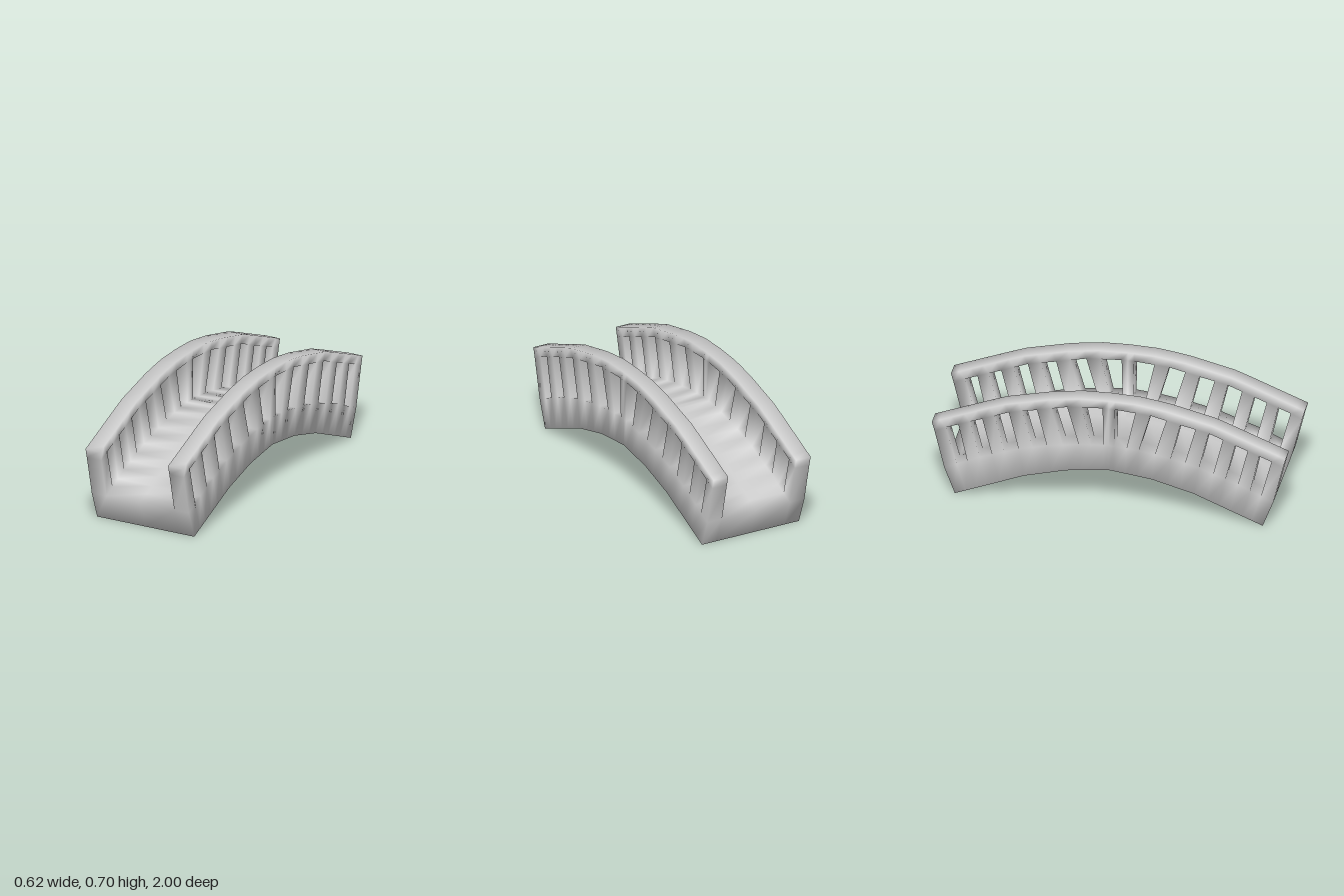
import * as THREE from 'three';

// half of the side profile, from the end (z = +1) towards the middle: [z, y]
const LOWER = [[0.87, 0], [0.48, 0.16], [0.24, 0.225], [0, 0.255]];
const SILL = [[0.93, 0.16], [0.86, 0.19], [0.73, 0.25], [0.59, 0.3], [0.51, 0.33], [0.43, 0.35], [0.35, 0.37], [0.17, 0.4], [0, 0.415]];
const HEAD = [[0.985, 0.39], [0.92, 0.42], [0.715, 0.5], [0.565, 0.56], [0.405, 0.595], [0.235, 0.635], [0.035, 0.65], [0, 0.65]];
const CREST = [[1, 0.445], [0.6, 0.605], [0.33, 0.67], [0.165, 0.695], [0, 0.7]];

// z of the slanted window edges at the sill and at the head
const SILL_Z = [0.86, 0.8, 0.73, 0.66, 0.59, 0.51, 0.43, 0.35, 0.26, 0.17, 0.1, 0.03];
const HEAD_Z = [0.92, 0.85, 0.785, 0.715, 0.645, 0.565, 0.49, 0.405, 0.325, 0.235, 0.15, 0.035];

const OUTER = 0.31, INNER = 0.217;
const COLUMNS = [-OUTER, -INNER, 0, INNER, OUTER];

function at(curve, z) {
  let i = 0;
  while (i < curve.length - 2 && z < curve[i + 1][0]) i++;
  const [a, b] = [curve[i], curve[i + 1]];
  return [z, a[1] + (b[1] - a[1]) * (z - a[0]) / (b[0] - a[0])];
}

export function createModel() {
  const group = new THREE.Group();
  group.name = 'archedBridge';

  // slanted cross-sections along the bridge, mirrored about the middle
  const half = [{ lower: LOWER[0], sill: SILL[0], head: HEAD[0], crest: CREST[0] }];
  SILL_Z.forEach((z, i) => half.push({
    lower: at(LOWER, z * 0.94), sill: at(SILL, z),
    head: at(HEAD, HEAD_Z[i]), crest: at(CREST, HEAD_Z[i] * 1.04),
  }));
  const middle = { lower: at(LOWER, 0), sill: at(SILL, 0), head: at(HEAD, 0), crest: at(CREST, 0) };
  const flip = ([z, y]) => [-z, y];
  const far = half.map((s) => ({
    lower: flip(s.lower), sill: flip(s.sill), head: flip(s.head), crest: flip(s.crest),
  })).reverse();
  const stations = [...half, middle, ...far];
  const last = stations.length - 1;

  // shared vertices, so the shading flows softly from part to part
  const positions = [], lookup = new Map(), parts = {};
  const vertex = (p) => {
    const key = p.map((v) => v.toFixed(4)).join();
    if (!lookup.has(key)) {
      lookup.set(key, positions.length / 3);
      positions.push(...p);
    }
    return lookup.get(key);
  };
  // a quad turned so that it faces along "facing"
  const quad = (part, corners, facing) => {
    const [a, b, c, d] = corners.map((p) => new THREE.Vector3(...p));
    const normal = c.clone().sub(a).cross(d.clone().sub(b));
    const ids = corners.map(vertex);
    if (normal.dot(new THREE.Vector3(...facing)) < 0) ids.reverse();
    (parts[part] ??= []).push(ids[0], ids[1], ids[2], ids[0], ids[2], ids[3]);
  };
  const pt = (x, [z, y]) => [x, y, z];
  // a strip across the bridge between two profile points
  const across = (part, x0, x1, p, q, facing) =>
    quad(part, [pt(x0, p), pt(x1, p), pt(x1, q), pt(x0, q)], facing);
  // a patch of wall between two stations
  const patch = (part, x, s, t, low, high, facing) =>
    quad(part, [pt(x, s[low]), pt(x, t[low]), pt(x, t[high]), pt(x, s[high])], facing);

  for (let i = 0; i < last; i++) {
    const s = stations[i], t = stations[i + 1];
    const isWindow = Math.min(i, last - 1 - i) % 2 === 1;

    // walkway and underside
    for (let c = 0; c < 4; c++) {
      across('underside', COLUMNS[c], COLUMNS[c + 1], s.lower, t.lower, [0, -1, 0]);
      if (c === 1 || c === 2) across('deck', COLUMNS[c], COLUMNS[c + 1], s.sill, t.sill, [0, 1, 0]);
    }

    // side walls with a handrail above slanted openings
    for (const side of [1, -1]) {
      const part = side > 0 ? 'leftRailing' : 'rightRailing';
      const xo = side * OUTER, xi = side * INNER;
      const out = [side, 0, 0], inward = [-side, 0, 0];
      patch(part, xo, s, t, 'lower', 'sill', out);
      patch(part, xo, s, t, 'head', 'crest', out);
      patch(part, xi, s, t, 'head', 'crest', inward);
      across(part, xi, xo, s.crest, t.crest, [0, 1, 0]);
      if (isWindow) {
        across(part, xi, xo, s.sill, t.sill, [0, 1, 0]);
        across(part, xi, xo, s.head, t.head, [0, -1, 0]);
        across(part, xi, xo, s.sill, s.head, [0, 0, -1]);
        across(part, xi, xo, t.sill, t.head, [0, 0, 1]);
      } else {
        patch(part, xo, s, t, 'sill', 'head', out);
        patch(part, xi, s, t, 'sill', 'head', inward);
      }
    }
  }

  // end faces of the deck and of the walls
  for (const [s, dir, name] of [[stations[0], 1, 'frontEnd'], [stations[last], -1, 'backEnd']]) {
    const facing = [0, 0, dir];
    for (let c = 0; c < 4; c++) across(name, COLUMNS[c], COLUMNS[c + 1], s.lower, s.sill, facing);
    for (const side of [1, -1]) {
      across(name, side * INNER, side * OUTER, s.sill, s.head, facing);
      across(name, side * INNER, side * OUTER, s.head, s.crest, facing);
    }
  }

  // normals over the whole body, then one mesh per part
  const body = new THREE.BufferGeometry();
  body.setAttribute('position', new THREE.Float32BufferAttribute(positions, 3));
  body.setIndex(Object.values(parts).flat());
  body.computeVertexNormals();
  const material = new THREE.MeshStandardMaterial({ color: 0xcccccc });
  for (const [name, index] of Object.entries(parts)) {
    const geometry = body.clone();
    geometry.setIndex(index);
    const mesh = new THREE.Mesh(geometry, material);
    mesh.name = name;
    group.add(mesh);
  }
  return group;
}
